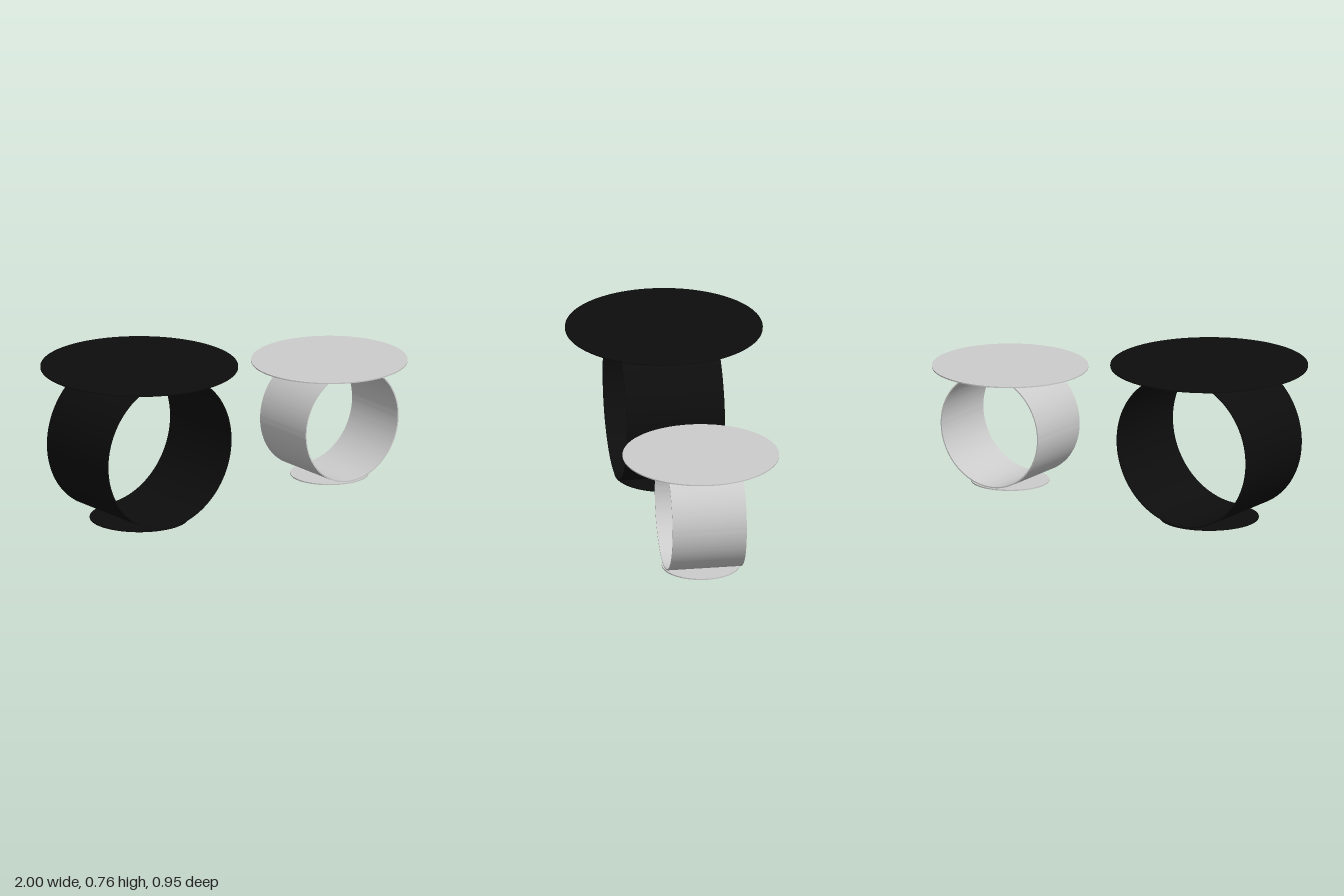
import * as THREE from 'three';
import { toCreasedNormals } from 'three/addons/utils/BufferGeometryUtils.js';

const SHEET = 0.006; // sheet thickness

// Thin round plate whose underside sits at y
function plate(name, radius, y, material) {
  const mesh = new THREE.Mesh(new THREE.CylinderGeometry(radius, radius, SHEET, 96), material);
  mesh.name = name;
  mesh.position.y = y + SHEET / 2;
  return mesh;
}

// Side table: round base plate, upright rolled band, round top
function sideTable(name, { x, topRadius, bandRadius, bandDepth, baseRadius, color }) {
  const material = new THREE.MeshStandardMaterial({ color });
  const table = new THREE.Group();
  table.name = name;
  table.position.x = x;

  // Band: open tube running front to back
  const outline = new THREE.Shape().absarc(0, 0, bandRadius, 0, Math.PI * 2);
  outline.holes.push(new THREE.Path().absarc(0, 0, bandRadius - SHEET, 0, Math.PI * 2, true));
  const geometry = new THREE.ExtrudeGeometry(outline, {
    depth: bandDepth, bevelEnabled: false, curveSegments: 96,
  });
  geometry.translate(0, 0, -bandDepth / 2);
  const band = new THREE.Mesh(toCreasedNormals(geometry, 0.6), material);
  band.name = 'bandPedestal';
  band.position.y = SHEET + bandRadius;

  table.add(
    plate('basePlate', baseRadius, 0, material),
    band,
    plate('tableTop', topRadius, SHEET + 2 * bandRadius, material),
  );
  return table;
}

export function createModel() {
  const model = new THREE.Group();
  model.name = 'sideTables';
  model.add(
    sideTable('largeTable', {
      x: -0.525, topRadius: 0.475, bandRadius: 0.375, bandDepth: 0.478, baseRadius: 0.238, color: 0x0d0d0d,
    }),
    sideTable('smallTable', {
      x: 0.624, topRadius: 0.376, bandRadius: 0.281, bandDepth: 0.36, baseRadius: 0.188, color: 0xcccccc,
    }),
  );
  return model;
}
